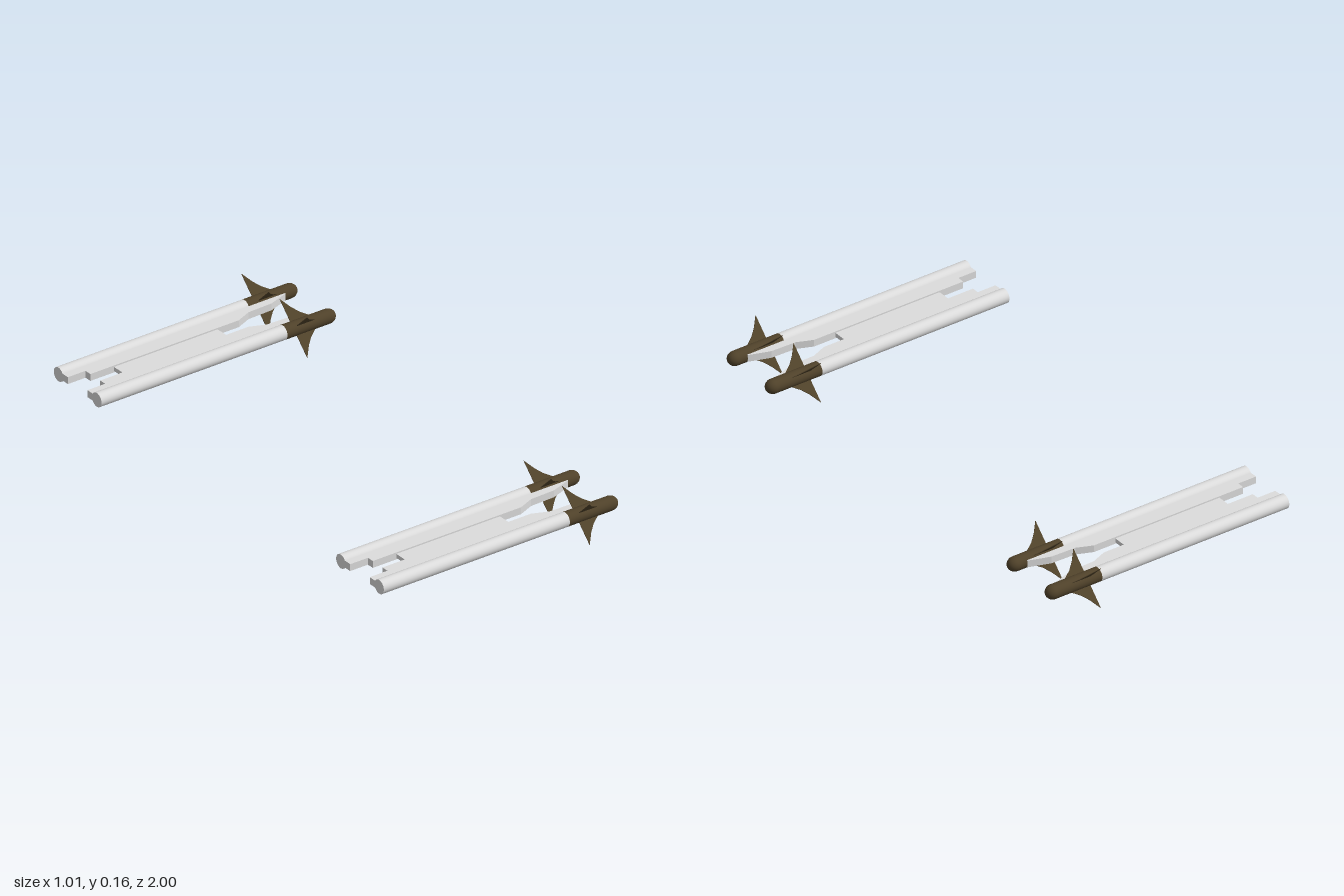
import * as THREE from 'three';

const AXIS_Y = 0.083;     // height of every missile axis
const RADIUS = 0.027;
const PYLON_Z = 0.81;     // centre of each twin launcher
const SPACING = 0.11;     // missile offset from the launcher centre

const white = new THREE.MeshStandardMaterial({ color: 0xdcdcdc });
white.name = 'paleGrey';
const olive = new THREE.MeshStandardMaterial({ color: 0x50422a });
olive.name = 'darkOlive';

function part(name, geometry, material) {
  const mesh = new THREE.Mesh(geometry, material);
  mesh.name = name;
  return mesh;
}

// Flat outline in the x/z plane, thickened evenly about y = 0
function slab(points, thickness) {
  const shape = new THREE.Shape(points.map(([x, z]) => new THREE.Vector2(x, z)));
  const geo = new THREE.ExtrudeGeometry(shape, { depth: thickness, bevelEnabled: false });
  return geo.translate(0, 0, -thickness / 2).rotateX(Math.PI / 2);
}

function createMissile() {
  const missile = new THREE.Group();
  missile.name = 'missile';

  // Long tube
  const tube = new THREE.CylinderGeometry(RADIUS, RADIUS, 0.79, 24);
  tube.rotateZ(-Math.PI / 2).translate(-0.11, 0, 0);
  missile.add(part('body', tube, white));

  // Seeker section with rounded nose
  const profile = [new THREE.Vector2(RADIUS, 0.285), new THREE.Vector2(RADIUS, 0.4)];
  for (let i = 0; i <= 8; i++) {
    const a = (i / 8) * Math.PI / 2;
    profile.push(new THREE.Vector2(RADIUS * Math.cos(a), 0.474 + 0.03 * Math.sin(a)));
  }
  missile.add(part('nose', new THREE.LatheGeometry(profile, 24).rotateZ(-Math.PI / 2), olive));

  // Four swept fins in an X
  const finOutline = [[0.33, 0.015], [0.41, 0.015], [0.41, 0.026], [0.38, 0.048], [0.357, 0.073], [0.33, 0.112]];
  const finGeo = slab(finOutline, 0.002);
  for (let i = 0; i < 4; i++) {
    const fin = part('fin', finGeo, olive);
    fin.rotation.x = Math.PI / 4 + i * Math.PI / 2;
    missile.add(fin);
  }
  return missile;
}

function createLauncher() {
  const launcher = new THREE.Group();
  launcher.name = 'twinLauncher';

  // Thin web joining the two rails
  const web = slab([[-0.33, -0.04], [0.11, -0.04], [0.11, 0.04], [-0.33, 0.04]], 0.016);
  launcher.add(part('web', web, white));

  for (const side of [-1, 1]) {
    // Stepped rail with a tapering front end
    const outline = [
      [-0.505, 0.095], [-0.505, 0.056], [-0.43, 0.056], [-0.43, 0.028], [0.2, 0.028],
      [0.26, 0.053], [0.36, 0.056], [0.44, 0.083], [0.44, 0.095],
    ].map(([x, z]) => [x, z * side]);
    launcher.add(part('rail', slab(outline, 0.027), white));

    const missile = createMissile();
    missile.position.z = side * SPACING;
    launcher.add(missile);
  }
  return launcher;
}

export function createModel() {
  const model = new THREE.Group();
  model.name = 'missileSet';
  for (const side of [-1, 1]) {
    const launcher = createLauncher();
    launcher.position.set(0, AXIS_Y, side * PYLON_Z);
    model.add(launcher);
  }
  return model;
}
